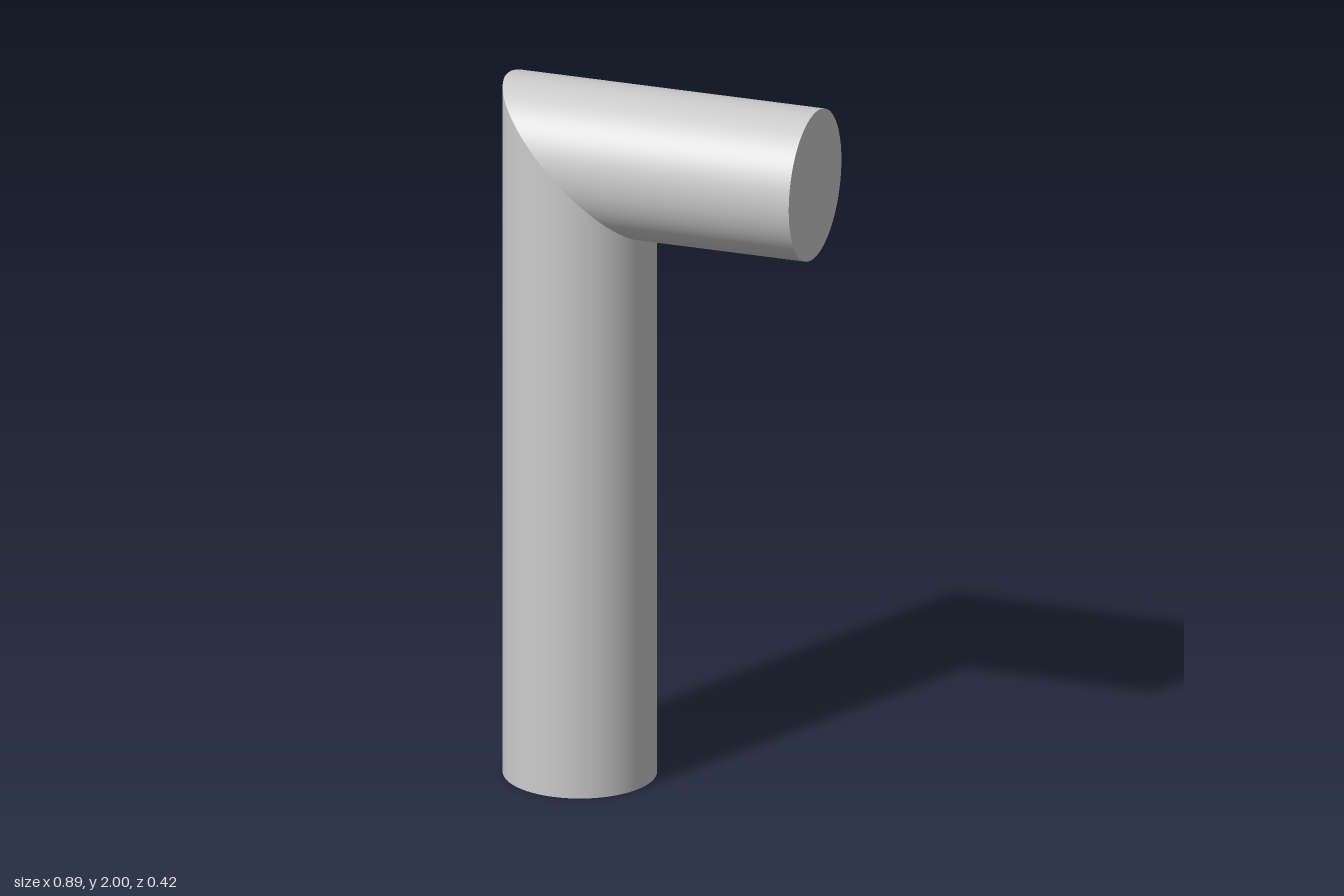
import * as THREE from 'three';
import { mergeGeometries } from 'three/addons/utils/BufferGeometryUtils.js';

const RADIUS = 0.21;
const SIDES = 96;

// Pipe standing on y = 0 with a flat closed base and a 45 degree mitred top;
// slope is the rise of the cut along x
function mitredPipe(name, length, slope) {
  const wall = new THREE.CylinderGeometry(RADIUS, RADIUS, length, SIDES, 1, true);
  wall.translate(0, length / 2, 0);
  const pos = wall.attributes.position;
  for (let i = 0; i < pos.count; i++) {
    if (pos.getY(i) > length / 2) pos.setY(i, length + slope * pos.getX(i));
  }
  const base = new THREE.CircleGeometry(RADIUS, SIDES).rotateX(Math.PI / 2);
  const material = new THREE.MeshStandardMaterial({ color: 0xcccccc });
  const mesh = new THREE.Mesh(mergeGeometries([wall, base]), material);
  mesh.name = name;
  return mesh;
}

export function createModel() {
  const group = new THREE.Group();
  group.name = 'mitredElbowPipe';

  // Long vertical leg
  const leg = mitredPipe('verticalPipe', 1.79, -1);
  leg.position.set(-0.235, 0, 0);

  // Short horizontal arm, running from its free end back to the mitre
  const arm = mitredPipe('horizontalPipe', 0.68, 1);
  arm.rotation.z = Math.PI / 2;
  arm.position.set(0.445, 1.79, 0);

  group.add(leg, arm);
  return group;
}
